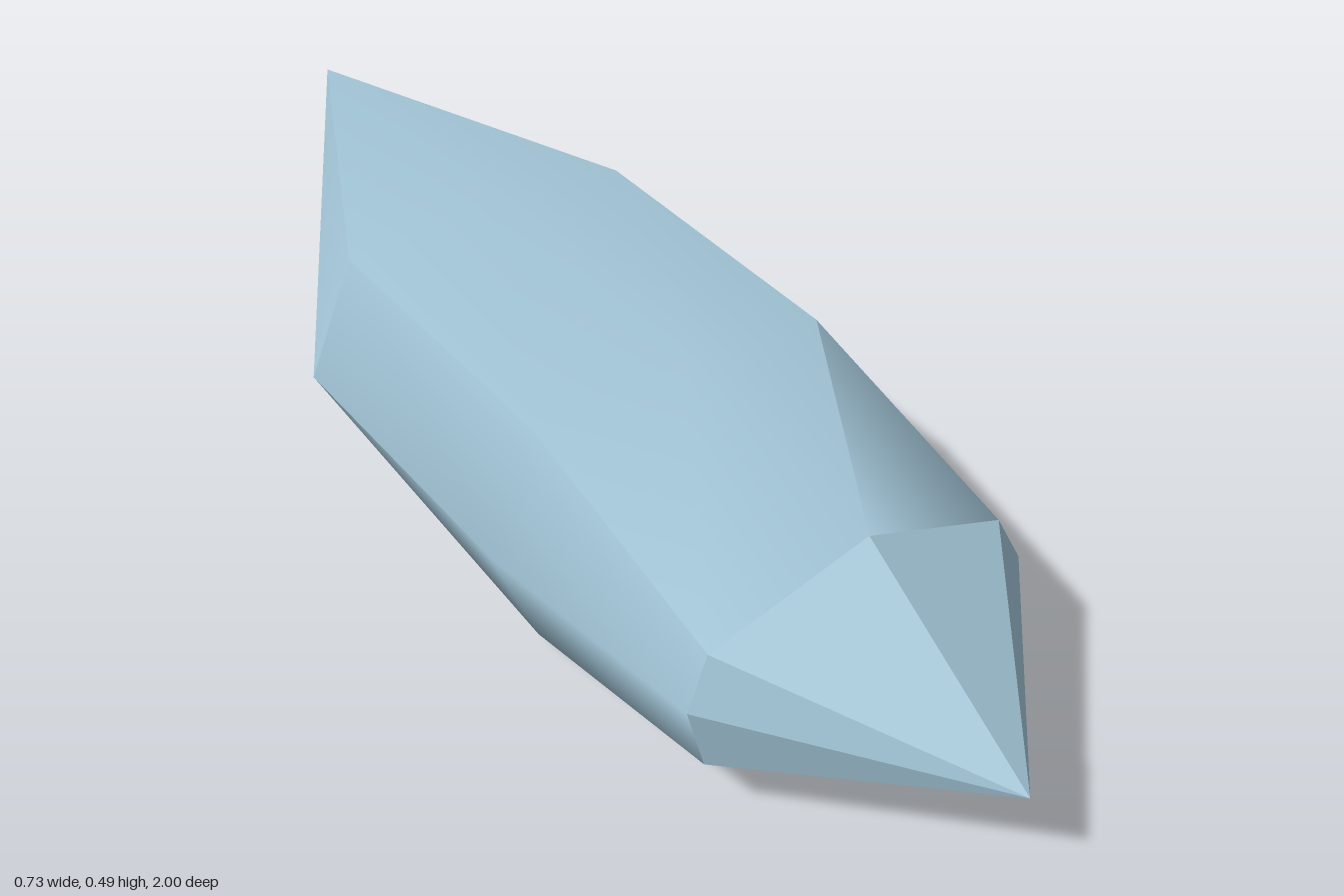
import * as THREE from 'three';
import { toCreasedNormals } from 'three/addons/utils/BufferGeometryUtils.js';

// Eight-sided cross-section: top, shoulders, sides, lower corners, bottom
function ring(z, top, shoulder, sideX, lower, bottom, bottomX) {
  return [
    [0, top, z], [-0.28, shoulder, z], [-sideX - 0.005, 0.25, z], [-0.28, lower, z],
    [bottomX, bottom, z], [0.255, lower, z], [sideX, 0.25, z], [0.255, shoulder, z],
  ].map((p) => new THREE.Vector3(...p));
}

// Skin successive rings, front to back; a one-point ring is a tip
function loft(rings, crease) {
  const points = [];
  for (let k = 0; k < rings.length - 1; k++) {
    const a = rings[k], b = rings[k + 1];
    for (let i = 0; i < 8; i++) {
      const j = (i + 1) % 8;
      const ai = a[i % a.length], aj = a[j % a.length];
      const bi = b[i % b.length], bj = b[j % b.length];
      if (a.length > 1) points.push(ai, bi, aj);
      if (b.length > 1) points.push(aj, bi, bj);
    }
  }
  const geometry = new THREE.BufferGeometry().setFromPoints(points);
  geometry.computeVertexNormals();
  return toCreasedNormals(geometry, crease);
}

export function createModel() {
  const group = new THREE.Group();
  group.name = 'facetedCrystal';
  const material = new THREE.MeshStandardMaterial({ color: 0xa3c6d8 });
  material.name = 'paleBlue';

  const frontRing = ring(0.64, 0.43, 0.345, 0.308, 0.133, 0.012, -0.025);
  const middleRing = ring(0.19, 0.478, 0.455, 0.36, 0.05, 0.002, -0.025);
  const rearRing = ring(-0.385, 0.488, 0.455, 0.36, 0.203, 0.195, -0.012);
  const noseTip = [new THREE.Vector3(0.01, 0.205, 1)];
  const tailTip = [new THREE.Vector3(0.005, 0.463, -1)];

  // Flat facets running to the front point
  const nose = new THREE.Mesh(loft([noseTip, frontRing], 0.03), material);
  nose.name = 'nose';

  // Softly shaded body with sharp shoulders, tapering to the rear point
  const body = new THREE.Mesh(loft([frontRing, middleRing, rearRing, tailTip], 0.85), material);
  body.name = 'body';

  group.add(nose, body);
  return group;
}
